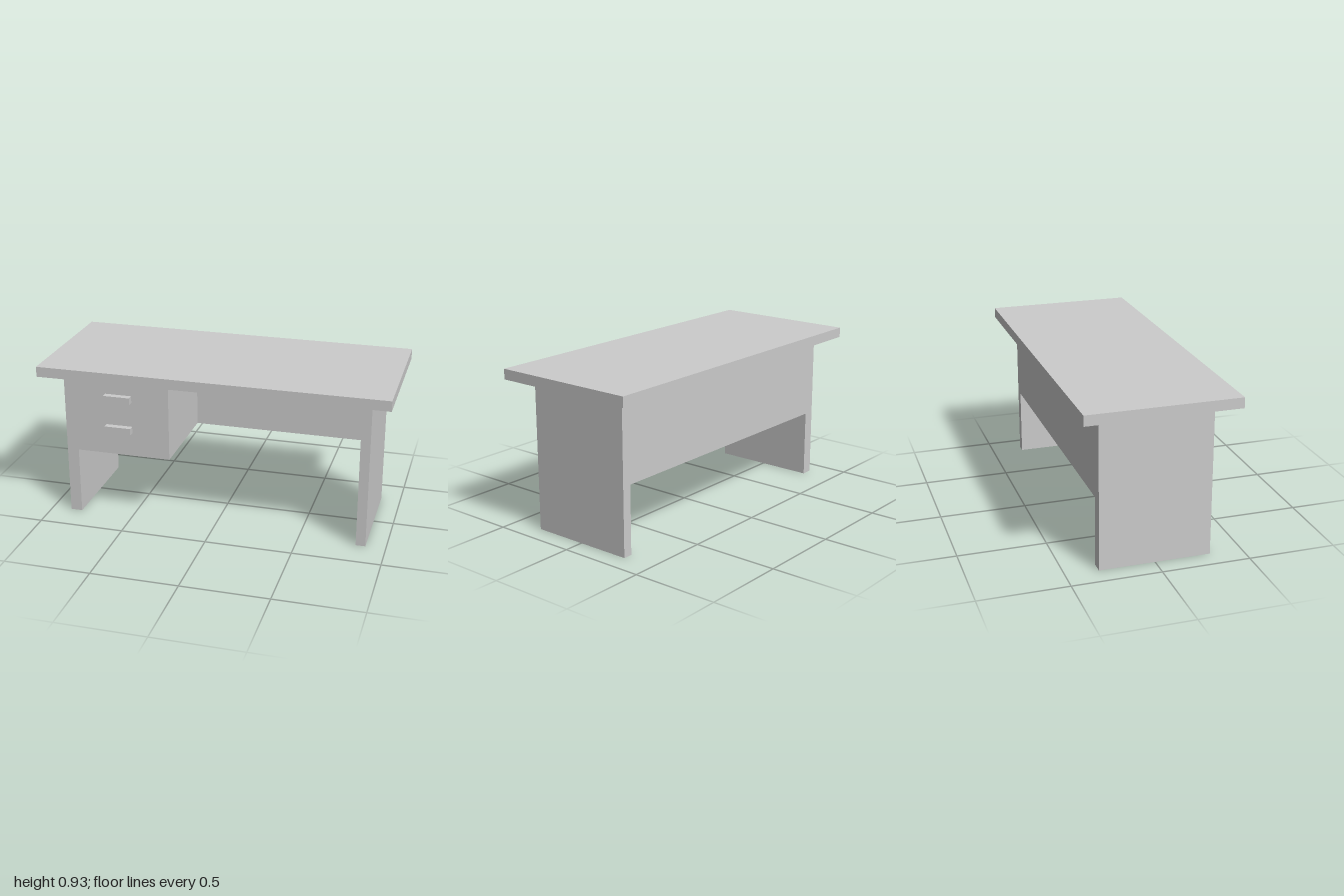
import * as THREE from 'three';

export function createModel() {
  const desk = new THREE.Group();
  desk.name = 'desk';
  const material = new THREE.MeshStandardMaterial({ color: 0xcccccc, flatShading: true });

  // Box given by its limits on each axis
  function addBox(name, [x0, x1], [y0, y1], [z0, z1]) {
    const mesh = new THREE.Mesh(new THREE.BoxGeometry(x1 - x0, y1 - y0, z1 - z0), material);
    mesh.position.set((x0 + x1) / 2, (y0 + y1) / 2, (z0 + z1) / 2);
    mesh.name = name;
    desk.add(mesh);
  }

  const topY = 0.873, apronY = 0.397, halfDepth = 0.315, backFront = -0.25;
  const rightInner = -0.817, leftInner = 0.83, outer = 0.885;

  addBox('tabletop', [-1, 1], [topY, 0.932], [-0.428, 0.428]);

  // Full-depth side panels serve as legs
  addBox('rightLegPanel', [-outer, rightInner], [0, topY], [-halfDepth, halfDepth]);
  addBox('leftLegPanel', [leftInner, outer], [0, topY], [-halfDepth, halfDepth]);

  // Back panel between the legs, with the drawer cabinet in front of it
  addBox('backPanel', [rightInner, leftInner], [apronY, topY], [-halfDepth, backFront]);
  addBox('drawerCabinet', [rightInner, -0.262], [apronY, topY], [backFront, halfDepth]);

  // Drawer handles
  [0.745, 0.558].forEach((y, i) => {
    addBox(['upperHandle', 'lowerHandle'][i], [-0.636, -0.481], [y - 0.02, y + 0.02], [halfDepth, 0.351]);
  });

  return desk;
}
